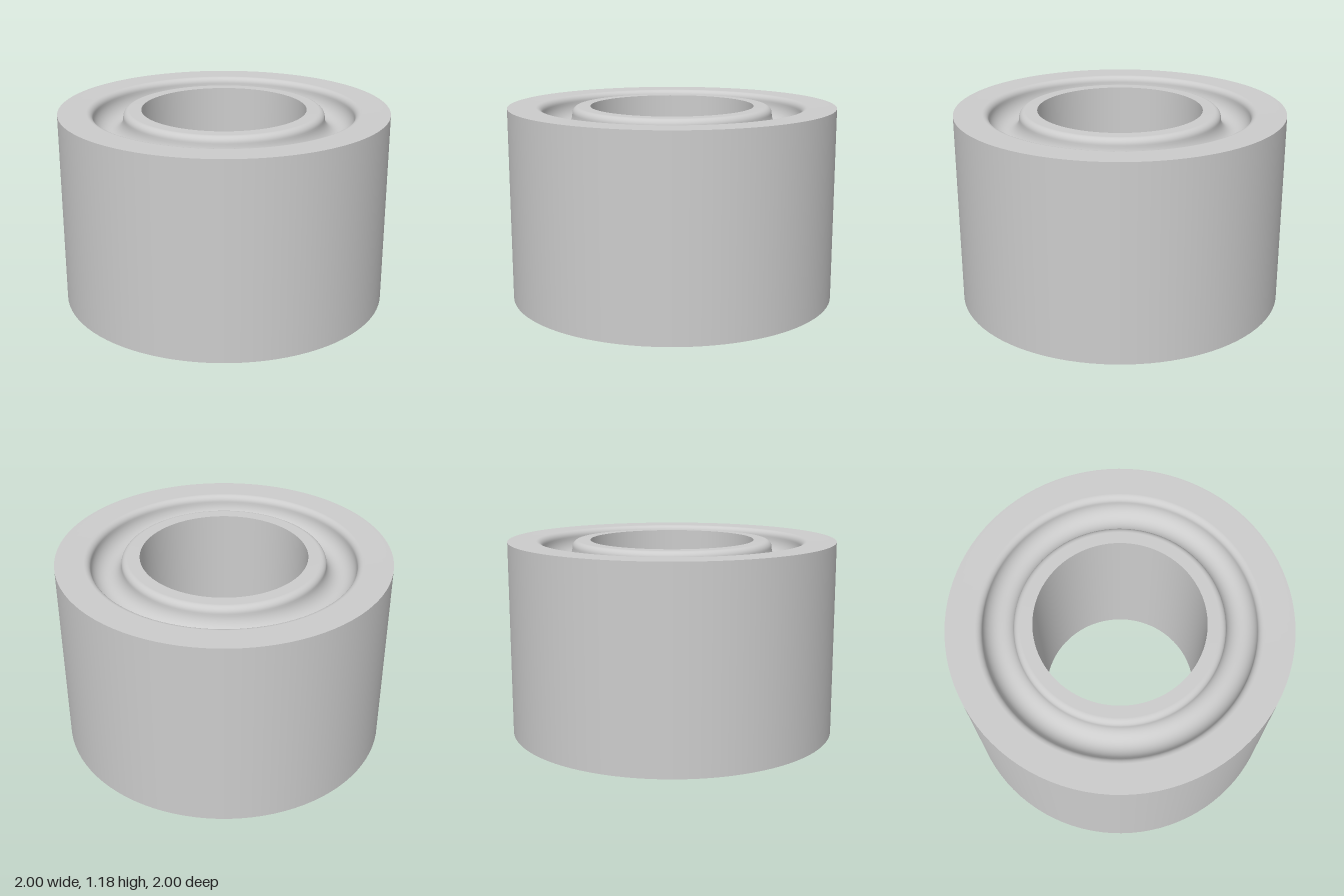
import * as THREE from 'three';

const HEIGHT = 1.185, OUTER = 1, INNER = 0.5, SEGMENTS = 96;
const LIP = 0.04, MID = 0.7, HALF = 0.09, DEPTH = 0.1;

export function createModel() {
  const group = new THREE.Group();
  group.name = 'groovedRing';
  const steel = new THREE.MeshStandardMaterial({ color: 0xcccccc });
  steel.name = 'steel grey';

  const lathe = (name, points) => {
    const mesh = new THREE.Mesh(
      new THREE.LatheGeometry(points.map(([r, y]) => new THREE.Vector2(r, y)), SEGMENTS), steel);
    mesh.name = name;
    group.add(mesh);
  };

  // End face profile from the rim inwards: flat, rounded lip, round groove, lip, flat
  const face = [[OUTER, HEIGHT]];
  for (let i = 0; i <= 8; i++) {
    const a = (i / 8) * Math.PI / 2;
    face.push([MID + HALF + LIP - LIP * Math.sin(a), HEIGHT - LIP + LIP * Math.cos(a)]);
  }
  for (let i = 1; i < 24; i++) {
    const a = (i / 24) * Math.PI;
    face.push([MID + HALF * Math.cos(a), HEIGHT - LIP - DEPTH * Math.sin(a)]);
  }
  for (let i = 8; i >= 0; i--) {
    const a = (i / 8) * Math.PI / 2;
    face.push([MID - HALF - LIP + LIP * Math.sin(a), HEIGHT - LIP + LIP * Math.cos(a)]);
  }
  face.push([INNER, HEIGHT]);

  // Walls and the two mirrored end faces, kept separate for sharp edges
  lathe('outerWall', [[OUTER, 0], [OUTER, HEIGHT]]);
  lathe('boreWall', [[INNER, HEIGHT], [INNER, 0]]);
  lathe('topFace', face);
  lathe('bottomFace', face.map(([r, y]) => [r, HEIGHT - y]).reverse());
  return group;
}
